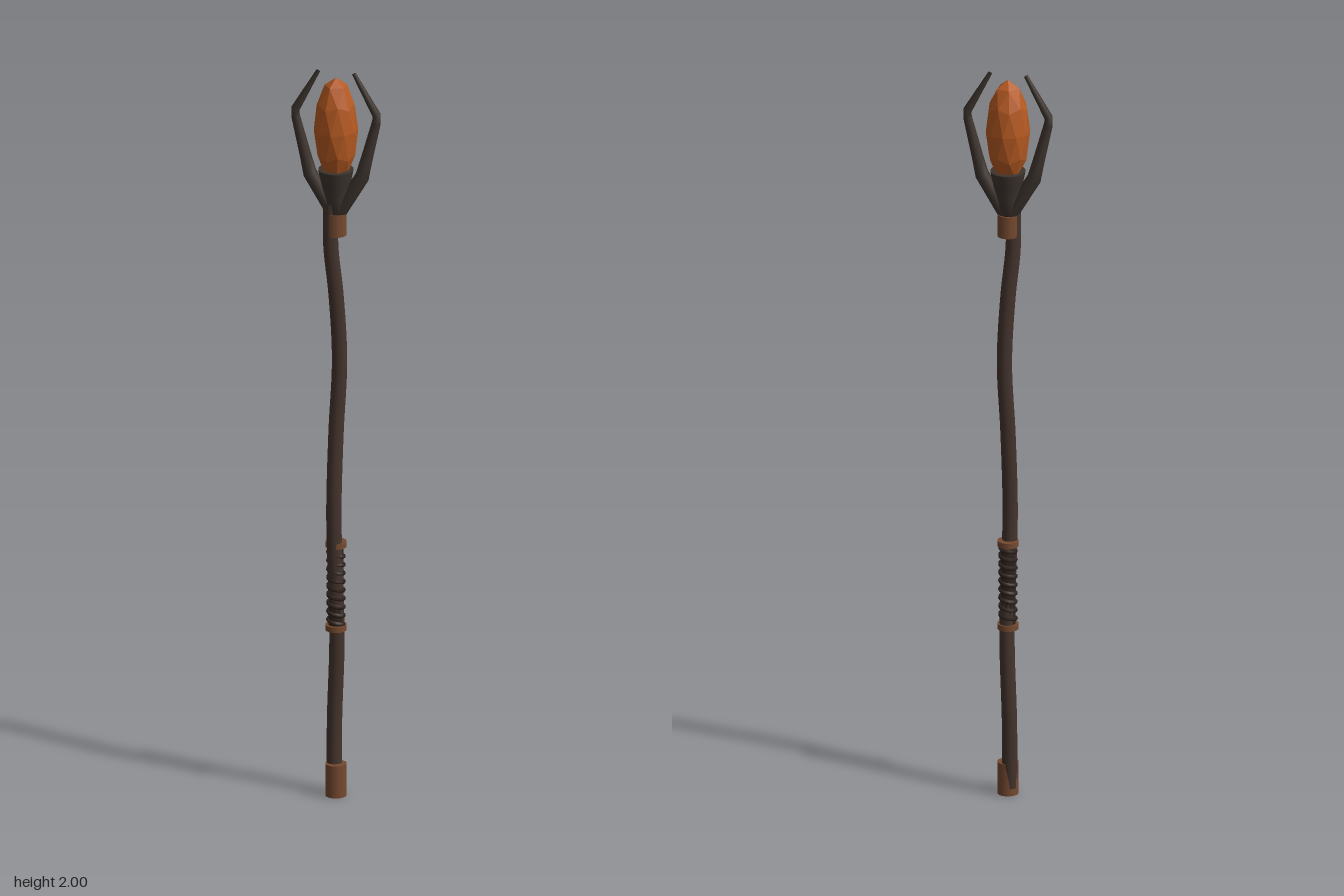
import * as THREE from 'three';

const V = (x, y, z = 0) => new THREE.Vector3(x, y, z);

function mat(name, color, flatShading = false) {
  const m = new THREE.MeshStandardMaterial({ color, flatShading });
  m.name = name;
  return m;
}

// Tapered tube through a bent polyline in the XY plane, with mitred rings and closed ends
function taperedLimb(points, radii, sides = 10) {
  const pos = [], idx = [];
  points.forEach((p, i) => {
    const a = points[Math.max(i - 1, 0)], b = points[Math.min(i + 1, points.length - 1)];
    const t = b.clone().sub(a).normalize();
    const n = V(t.y, -t.x);
    for (let k = 0; k < sides; k++) {
      const ang = (k / sides) * Math.PI * 2, c = Math.cos(ang) * radii[i];
      pos.push(p.x + n.x * c, p.y + n.y * c, Math.sin(ang) * radii[i]);
    }
  });
  for (let i = 0; i < points.length - 1; i++) {
    for (let k = 0; k < sides; k++) {
      const a = i * sides + k, b = i * sides + (k + 1) % sides;
      idx.push(a, a + sides, b, b, a + sides, b + sides);
    }
  }
  const last = (points.length - 1) * sides;
  for (let k = 1; k < sides - 1; k++) {
    idx.push(0, k, k + 1, last, last + k + 1, last + k);
  }
  const g = new THREE.BufferGeometry();
  g.setAttribute('position', new THREE.Float32BufferAttribute(pos, 3));
  g.setIndex(idx);
  g.computeVertexNormals();
  return g;
}

export function createModel() {
  const root = new THREE.Group();
  root.name = 'staff';
  const wood = mat('dark wood', 0x44342d);
  const horn = mat('dark horn', 0x3d342e);
  const bronze = mat('bronze', 0x75492f);
  const leather = mat('dark leather', 0x2f221c);
  const amber = mat('amber', 0xb65a22, true);

  const add = (name, geometry, material, y = 0, parent = root) => {
    const m = new THREE.Mesh(geometry, material);
    m.name = name;
    m.position.y = y;
    parent.add(m);
    return m;
  };

  // Gently crooked wooden shaft
  const shaftCurve = new THREE.CatmullRomCurve3([
    V(-0.006, 0.02, -0.006), V(-0.007, 0.2, -0.012), V(0.001, 0.42, -0.006),
    V(0, 0.58, 0.003), V(-0.003, 0.78, 0.011), V(0, 1.0, 0),
    V(0.007, 1.2, -0.01), V(-0.001, 1.38, -0.005), V(-0.013, 1.52, 0.004),
    V(-0.012, 1.64, 0.006),
  ]);
  add('shaft', new THREE.TubeGeometry(shaftCurve, 60, 0.0205, 10), wood);

  // Foot cap and the collar beneath the head
  add('footCap', new THREE.CylinderGeometry(0.028, 0.028, 0.088, 16), bronze, 0.044);
  add('headCollar', new THREE.CylinderGeometry(0.028, 0.028, 0.06, 16), bronze, 1.58);

  // Wrapped grip between two rings
  const grip = new THREE.Group();
  grip.name = 'grip';
  root.add(grip);
  add('gripCore', new THREE.CylinderGeometry(0.0205, 0.0205, 0.23, 12), leather, 0.58, grip);
  const turns = 9, helix = [];
  for (let i = 0; i <= turns * 12; i++) {
    const a = (i / 12) * Math.PI * 2;
    helix.push(V(Math.cos(a) * 0.0195, 0.475 + (i / (turns * 12)) * 0.21, Math.sin(a) * 0.0195));
  }
  add('gripWrap', new THREE.TubeGeometry(new THREE.CatmullRomCurve3(helix), turns * 16, 0.0065, 6), leather, 0, grip);
  for (const y of [0.465, 0.695]) {
    add('gripRing', new THREE.CylinderGeometry(0.028, 0.028, 0.015, 16), bronze, y, grip);
  }

  // Flared cup holding the crystal
  const cup = [[0, 1.595], [0.022, 1.6], [0.028, 1.65], [0.038, 1.69], [0.046, 1.728], [0.046, 1.732], [0, 1.728]]
    .map(([r, y]) => new THREE.Vector2(r, y));
  add('cup', new THREE.LatheGeometry(cup, 16), horn);

  // Two bent claws, mirrored left and right
  for (const s of [1, -1]) {
    const path = [[0.006, 1.61], [0.07, 1.715], [0.081, 1.76], [0.108, 1.868], [0.109, 1.888], [0.048, 1.998]];
    const radii = [0.02, 0.019, 0.016, 0.012, 0.0115, 0.0055];
    const claw = add(s > 0 ? 'leftClaw' : 'rightClaw', taperedLimb(path.map(([x, y]) => V(x, y)), radii), horn);
    if (s < 0) claw.rotation.y = Math.PI;
  }

  // Faceted elongated crystal with a vertex at each pole
  const gem = new THREE.IcosahedronGeometry(1, 1);
  gem.rotateZ(Math.atan(2 / (1 + Math.sqrt(5))));
  gem.scale(0.058, 0.143, 0.058);
  add('crystal', gem, amber, 1.84);

  return root;
}
